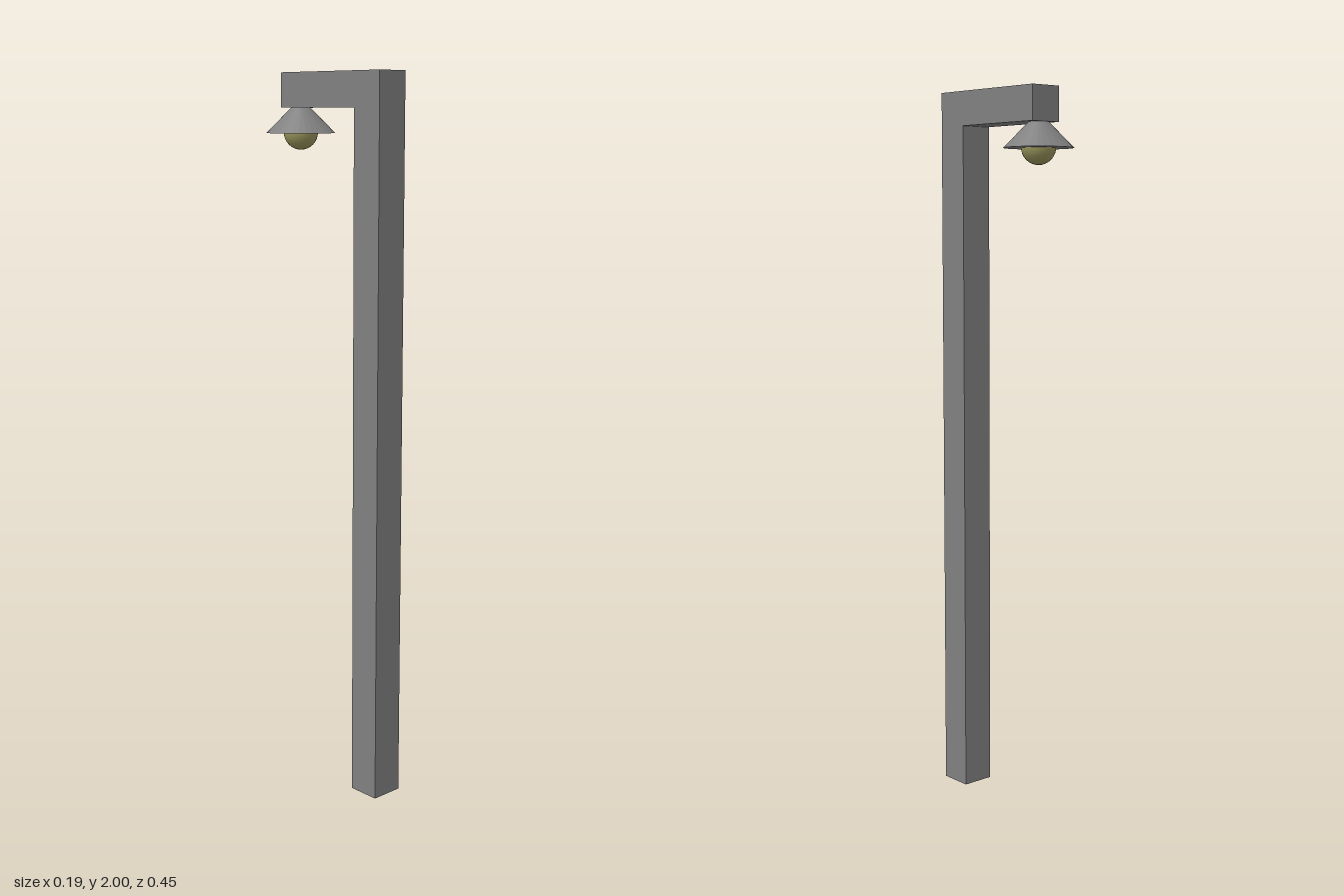
import * as THREE from 'three';

export function createModel() {
  const group = new THREE.Group();
  const grey = new THREE.MeshStandardMaterial({ color: 0x808080 });
  const facetedGrey = new THREE.MeshStandardMaterial({ color: 0x808080, flatShading: true });
  const yellow = new THREE.MeshStandardMaterial({ color: 0x96925a });

  const add = (name, geometry, material) => {
    const mesh = new THREE.Mesh(geometry, material);
    mesh.name = name;
    group.add(mesh);
    return mesh;
  };

  // Square post and overhanging arm: one L profile in (z, y), extruded across x
  const width = 0.094;
  const profile = new THREE.Shape([
    [0.13, 0], [0.224, 0], [0.224, 2], [-0.157, 2], [-0.157, 1.906], [0.13, 1.906],
  ].map(([z, y]) => new THREE.Vector2(z, y)));
  const post = new THREE.ExtrudeGeometry(profile, { depth: width, bevelEnabled: false });
  post.translate(0, 0, -width / 2).rotateY(-Math.PI / 2);
  add('postAndArm', post, grey);

  // Conical shade, its tip sunk into the underside of the arm
  const lampZ = -0.129, rimY = 1.838, shadeHeight = 0.095;
  add('lampShade', new THREE.ConeGeometry(0.095, shadeHeight, 32), facetedGrey)
    .position.set(0, rimY + shadeHeight / 2, lampZ);

  // Bulb half hidden in the shade
  add('bulb', new THREE.SphereGeometry(0.047, 32, 16), yellow)
    .position.set(0, rimY + 0.002, lampZ);

  return group;
}
